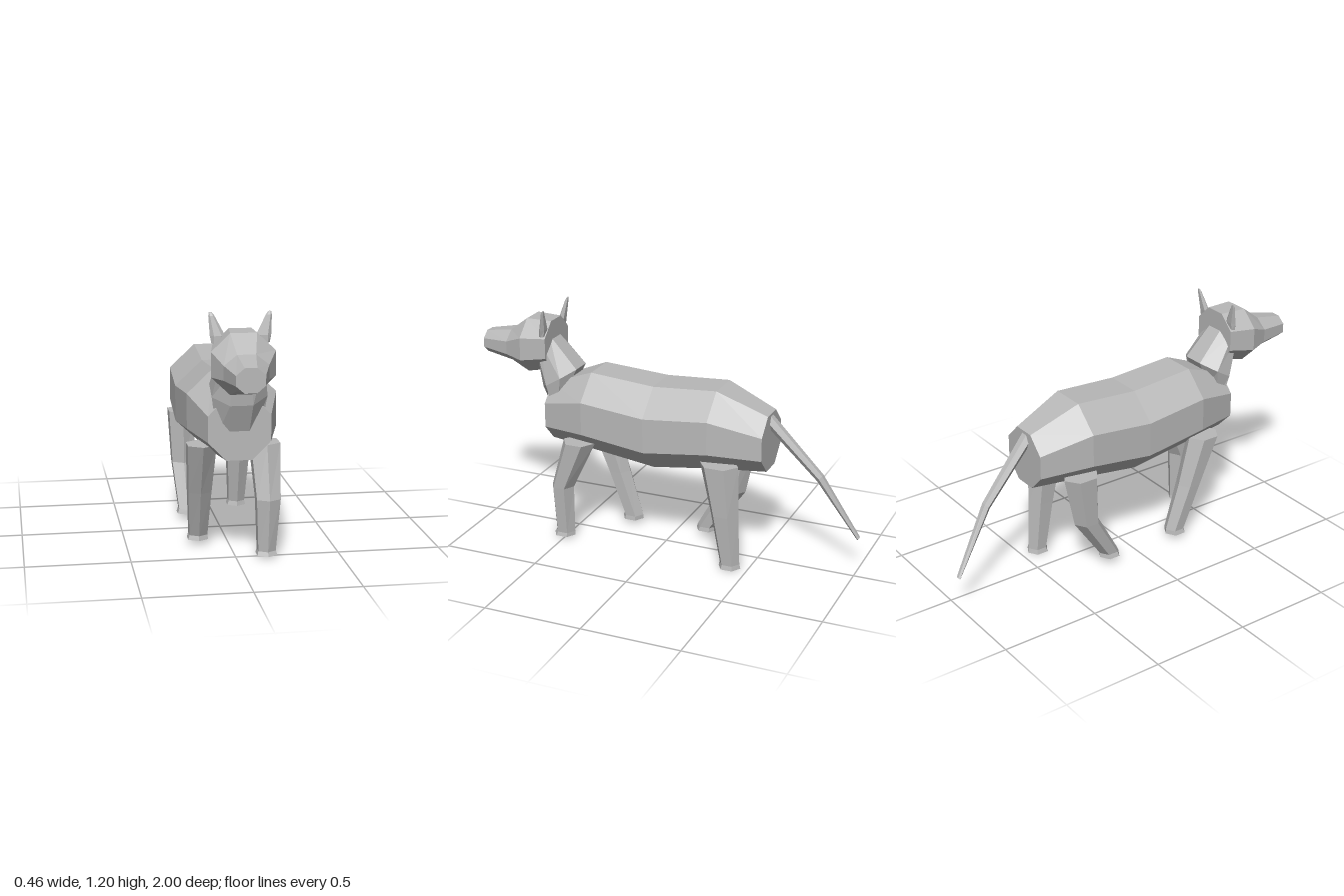
import * as THREE from 'three';

const grey = new THREE.MeshStandardMaterial({ color: 0xb8b8b8, flatShading: true });
grey.name = 'plain grey';

// One cross-section: n points around c, spanned by half-axes u and v (u x v points along the loft)
function ring(c, u, v, n, turn) {
  const pts = [];
  for (let i = 0; i < n; i++) {
    const a = (i / n) * Math.PI * 2 + turn;
    pts.push(new THREE.Vector3(...c)
      .addScaledVector(new THREE.Vector3(...u), Math.cos(a))
      .addScaledVector(new THREE.Vector3(...v), Math.sin(a)));
  }
  return pts;
}

// Closed, faceted solid through a list of rings
function loft(name, rings) {
  const pos = [];
  const tri = (a, b, c) => [a, b, c].forEach(p => pos.push(p.x, p.y, p.z));
  const n = rings[0].length;
  for (let r = 0; r + 1 < rings.length; r++) {
    const a = rings[r], b = rings[r + 1];
    for (let i = 0; i < n; i++) {
      const j = (i + 1) % n;
      tri(a[i], a[j], b[j]);
      tri(a[i], b[j], b[i]);
    }
  }
  const first = rings[0], last = rings[rings.length - 1];
  for (let i = 1; i + 1 < n; i++) {
    tri(first[0], first[i + 1], first[i]);
    tri(last[0], last[i], last[i + 1]);
  }
  const g = new THREE.BufferGeometry();
  g.setAttribute('position', new THREE.Float32BufferAttribute(pos, 3));
  g.computeVertexNormals();
  const mesh = new THREE.Mesh(g, grey);
  mesh.name = name;
  return mesh;
}

// Flat-sided octagon loft running along +z; rows are [z, x, y, half width, half height]
function octagonLoft(name, rows) {
  const k = 1 / Math.cos(Math.PI / 8);
  return loft(name, rows.map(([z, x, y, w, h]) =>
    ring([x, y, z], [w * k, 0, 0], [0, h * k, 0], 8, Math.PI / 8)));
}

// Hexagonal leg, top to foot; rows are [x, y, z, half width, half depth]
function leg(name, rows) {
  const k = 1 / Math.cos(Math.PI / 6);
  return loft(name, rows.map(([x, y, z, w, d]) =>
    ring([x, y, z], [w * k, 0, 0], [0, 0, d], 6, Math.PI / 6)));
}

export function createModel() {
  const model = new THREE.Group();
  model.name = 'animal';

  // Barrel-shaped trunk
  model.add(octagonLoft('body', [
    [-0.555, 0, 0.648, 0.14, 0.143],
    [-0.3, 0, 0.693, 0.215, 0.202],
    [0.03, 0, 0.66, 0.228, 0.213],
    [0.37, 0, 0.693, 0.215, 0.204],
    [0.605, 0, 0.655, 0.148, 0.15],
  ]));

  // Head narrowing to the muzzle
  model.add(octagonLoft('head', [
    [0.605, 0, 1.0, 0.127, 0.125],
    [0.74, -0.006, 0.985, 0.147, 0.14],
    [0.845, -0.01, 0.965, 0.102, 0.081],
    [1.0, -0.017, 0.96, 0.066, 0.056],
  ]));

  // Neck, each ring given by its rear and front points [z, y] and half width
  const neckRows = [
    [[0.54, 0.74], [0.57, 0.56], 0.1],
    [[0.47, 0.887], [0.66, 0.775], 0.13],
    [[0.625, 1.05], [0.685, 0.95], 0.1],
  ];
  const k8 = 1 / Math.cos(Math.PI / 8);
  model.add(loft('neck', neckRows.map(([rear, front, w]) => ring(
    [0, (rear[1] + front[1]) / 2, (rear[0] + front[0]) / 2],
    [0, (front[1] - rear[1]) / 2 * k8, (front[0] - rear[0]) / 2 * k8],
    [w * k8, 0, 0], 8, Math.PI / 8))));

  // Thin upright ears
  for (const [side, s] of [['left', 1], ['right', -1]]) {
    const rows = [
      [0.112, 1.06, 0.625, 0.022, 0.014],
      [0.106, 1.095, 0.622, 0.035, 0.016],
      [0.132, 1.185, 0.609, 0.014, 0.007],
      [0.136, 1.2, 0.605, 0.007, 0.003],
    ];
    model.add(loft(side + 'Ear', rows.map(([x, y, z, w, d]) =>
      ring([s * x, y, z], [0, 0, d], [w, 0, 0], 6, Math.PI / 2))));
  }

  // Walking legs
  model.add(leg('frontLeftLeg', [
    [0.15, 0.545, 0.413, 0.07, 0.087],
    [0.152, 0.29, 0.509, 0.057, 0.06],
    [0.147, 0.035, 0.503, 0.042, 0.052],
    [0.147, 0.015, 0.508, 0.048, 0.059],
  ]));
  model.add(leg('frontRightLeg', [
    [-0.153, 0.545, 0.42, 0.068, 0.085],
    [-0.152, 0.29, 0.333, 0.056, 0.062],
    [-0.148, 0.05, 0.25, 0.044, 0.053],
    [-0.15, 0.028, 0.253, 0.049, 0.058],
  ]));
  model.add(leg('rearLeftLeg', [
    [0.15, 0.545, -0.342, 0.07, 0.1],
    [0.152, 0.29, -0.375, 0.057, 0.073],
    [0.148, 0.025, -0.405, 0.042, 0.052],
    [0.147, 0.002, -0.405, 0.048, 0.058],
  ]));
  model.add(leg('rearRightLeg', [
    [-0.153, 0.545, -0.335, 0.068, 0.095],
    [-0.152, 0.28, -0.305, 0.056, 0.068],
    [-0.148, 0.06, -0.168, 0.042, 0.052],
    [-0.15, 0.038, -0.165, 0.048, 0.057],
  ]));

  // Drooping tail, tapering to a point
  const tailRows = [
    [-0.003, 0.765, -0.53, 0.034, 0.03],
    [-0.034, 0.478, -0.8, 0.024, 0.022],
    [-0.08, 0.168, -0.995, 0.015, 0.009],
  ];
  model.add(loft('tail', tailRows.map(([x, y, z, w, t]) =>
    ring([x, y, z], [w, 0, 0], [0, -t * 0.75, t * 0.66], 6, 0).reverse())));

  // Keep the tail facing outwards whichever way its rings run
  const tail = model.getObjectByName('tail');
  const p = tail.geometry.attributes.position;
  const a = new THREE.Vector3(), b = new THREE.Vector3(), c = new THREE.Vector3();
  let volume = 0;
  for (let i = 0; i < p.count; i += 3) {
    a.fromBufferAttribute(p, i);
    b.fromBufferAttribute(p, i + 1);
    c.fromBufferAttribute(p, i + 2);
    volume += a.dot(b.cross(c));
  }
  if (volume < 0) {
    for (let i = 0; i < p.count; i += 3) {
      b.fromBufferAttribute(p, i + 1);
      c.fromBufferAttribute(p, i + 2);
      p.setXYZ(i + 1, c.x, c.y, c.z);
      p.setXYZ(i + 2, b.x, b.y, b.z);
    }
    tail.geometry.computeVertexNormals();
  }
  return model;
}
